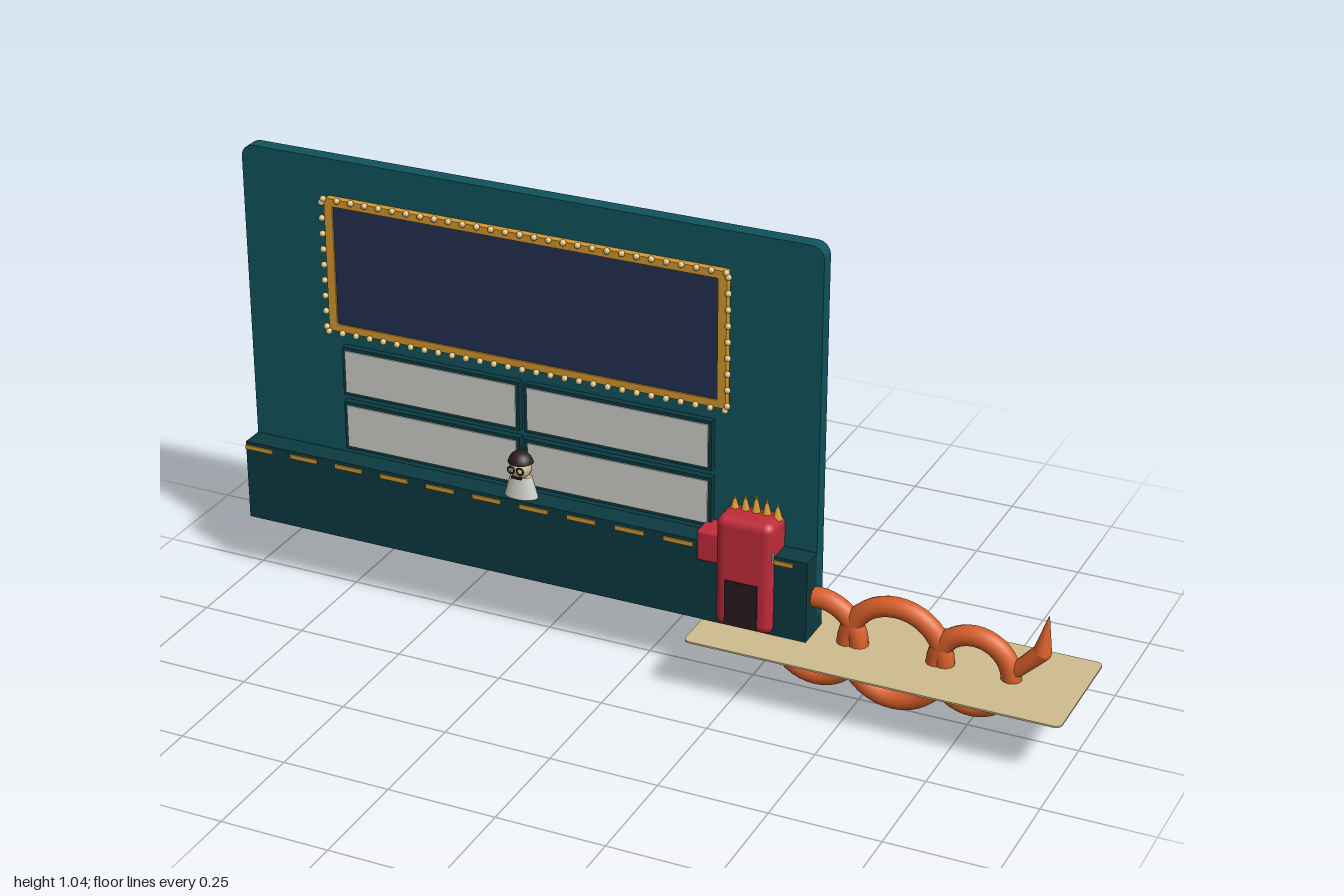
import * as THREE from 'three';
import { RoundedBoxGeometry } from 'three/addons/geometries/RoundedBoxGeometry.js';

const material = (name, color) => Object.assign(new THREE.MeshStandardMaterial({ color }), { name });

function roundedRect(x0, y0, x1, y1, r) {
  const s = new THREE.Shape();
  s.moveTo(x0 + r, y0);
  s.lineTo(x1 - r, y0).absarc(x1 - r, y0 + r, r, -Math.PI / 2, 0);
  s.lineTo(x1, y1 - r).absarc(x1 - r, y1 - r, r, 0, Math.PI / 2);
  s.lineTo(x0 + r, y1).absarc(x0 + r, y1 - r, r, Math.PI / 2, Math.PI);
  s.lineTo(x0, y0 + r).absarc(x0 + r, y0 + r, r, Math.PI, Math.PI * 1.5);
  return s;
}

export function createModel() {
  const teal = material('wall teal', 0x0f535d);
  const deepTeal = material('counter teal', 0x0c3a41);
  const gold = material('gold', 0xd6982c);
  const cream = material('bulb cream', 0xe0c284);
  const navy = material('screen navy', 0x232f50);
  const pale = material('panel white', 0xd0d0cb);
  const red = material('red', 0xc22b3a);
  const orange = material('orange', 0xd9602a);
  const sand = material('sand', 0xcfbd8e);
  const dark = material('dark brown', 0x2a1c1e);

  const model = new THREE.Group();
  const add = (name, geometry, mat, x = 0, y = 0, z = 0, parent = model) => {
    const mesh = new THREE.Mesh(geometry, mat);
    mesh.name = name;
    mesh.position.set(x, y, z);
    parent.add(mesh);
    return mesh;
  };
  // Box given by its limits on each axis
  const box = (name, mat, x0, x1, y0, y1, z0, z1, parent) =>
    add(name, new THREE.BoxGeometry(x1 - x0, y1 - y0, z1 - z0), mat,
      (x0 + x1) / 2, (y0 + y1) / 2, (z0 + z1) / 2, parent);
  const group = (name) => {
    const g = new THREE.Group();
    g.name = name;
    model.add(g);
    return g;
  };

  // Back wall with rounded corners
  add('wall', new THREE.ExtrudeGeometry(roundedRect(-1, 0.147, 0.39, 1.048, 0.03),
    { depth: 0.035, bevelEnabled: false, curveSegments: 6 }), teal, 0, 0, -0.045);

  // Counter with a dashed stripe
  box('counter', deepTeal, -1, 0.39, 0.145, 0.338, -0.046, 0.044);
  for (let i = 0; i < 12; i++) {
    const x = -1 + i * 0.117;
    box('counterDash', gold, x, x + 0.07, 0.32, 0.33, 0.044, 0.047);
  }

  // Screen, gold frame and bulbs
  const frame = roundedRect(-0.785, 0.645, 0.18, 0.962, 0.006);
  frame.holes.push(roundedRect(-0.765, 0.662, 0.16, 0.944, 0.003));
  add('screenFrame', new THREE.ExtrudeGeometry(frame,
    { depth: 0.018, bevelEnabled: false }), gold, 0, 0, -0.01);
  box('screen', navy, -0.77, 0.165, 0.655, 0.95, -0.01, 0.004);
  const bulbs = group('frameBulbs');
  const bulb = new THREE.SphereGeometry(0.0075, 8, 6);
  for (let i = 0; i <= 28; i++)
    for (const y of [0.643, 0.961])
      add('bulb', bulb, cream, -0.785 + i * 0.965 / 28, y, 0.011, bulbs);
  for (let i = 0; i < 9; i++)
    for (const x of [-0.79, 0.185])
      add('bulb', bulb, cream, x, 0.654 + i * 0.0372, 0.011, bulbs);

  // Four display panels
  for (const [x0, x1] of [[-0.757, -0.314], [-0.302, 0.148]])
    for (const [y0, y1] of [[0.49, 0.608], [0.355, 0.473]]) {
      box('panelFrame', deepTeal, x0, x1, y0, y1, -0.01, 0.006);
      box('panelFace', pale, x0 + 0.008, x1 - 0.008, y0 + 0.008, y1 - 0.008, 0.006, 0.009);
    }

  // Small attendant standing in the counter
  const person = group('attendant');
  add('torso', new THREE.CylinderGeometry(0.026, 0.043, 0.06, 16), pale, -0.307, 0.358, 0.016, person)
    .scale.z = 0.6;
  add('head', new THREE.SphereGeometry(0.025, 16, 12), sand, -0.307, 0.407, 0.018, person);
  add('hair', new THREE.SphereGeometry(0.03, 16, 8, 0, Math.PI * 2, 0, Math.PI * 0.45), dark,
    -0.307, 0.417, 0.015, person);
  for (const s of [-1, 1]) {
    add('glasses', new THREE.TorusGeometry(0.008, 0.002, 6, 12), dark, -0.307 + s * 0.011, 0.41, 0.043, person);
    box('foot', pale, -0.307 + s * 0.016 - 0.011, -0.307 + s * 0.016 + 0.011, 0.141, 0.15, 0.002, 0.026, person);
  }
  box('beard', dark, -0.319, -0.295, 0.388, 0.394, 0.034, 0.041, person);

  // Red crowned booth, door on both sides
  const booth = group('crownedBooth');
  add('boothBody', new RoundedBoxGeometry(0.135, 0.27, 0.122, 4, 0.022), red, 0.247, 0.28, -0.001, booth);
  add('boothArm', new RoundedBoxGeometry(0.07, 0.075, 0.1, 2, 0.008), red, 0.167, 0.328, 0, booth);
  for (const z of [-0.063, 0.061])
    box('boothDoor', dark, 0.206, 0.282, 0.157, 0.265, z - 0.003, z + 0.003, booth);
  for (const z of [-0.054, 0.052])
    box('boothSlit', pale, 0.312, 0.316, 0.325, 0.35, z - 0.002, z + 0.002, booth);
  [0.04, 0.048, 0.055, 0.048, 0.04].forEach((h, i) =>
    add('crownSpike', new THREE.ConeGeometry(0.012, h, 8), gold,
      0.203 + i * 0.025, 0.408 + h / 2, 0.004, booth));

  // Thin sand mat
  const mat = add('groundMat', new THREE.ExtrudeGeometry(roundedRect(0.145, -0.145, 1, 0.145, 0.015),
    { depth: 0.004, bevelEnabled: false }), sand, 0, 0.14, 0);
  mat.rotation.x = -Math.PI / 2;

  // Serpent: three coils and a raised pointed end
  const serpent = group('serpent');
  for (const [x, r] of [[0.4, 0.095], [0.58, 0.112], [0.758, 0.085]])
    add('coil', new THREE.TorusGeometry(r, 0.023, 12, 40), orange, x, 0.142, 0, serpent);
  const taper = (name, from, to, r0, r1) => {
    const a = new THREE.Vector3(...from, 0), b = new THREE.Vector3(...to, 0);
    const dir = b.clone().sub(a);
    const mid = a.clone().add(b).multiplyScalar(0.5);
    add(name, new THREE.CylinderGeometry(r1, r0, dir.length(), 14), orange, mid.x, mid.y, 0, serpent)
      .quaternion.setFromUnitVectors(new THREE.Vector3(0, 1, 0), dir.normalize());
  };
  taper('neck', [0.85, 0.165], [0.907, 0.224], 0.017, 0.02);
  add('neckJoint', new THREE.SphereGeometry(0.02, 14, 10), orange, 0.907, 0.224, 0, serpent);
  taper('pointedTip', [0.907, 0.224], [0.918, 0.313], 0.021, 0.001);

  return model;
}
